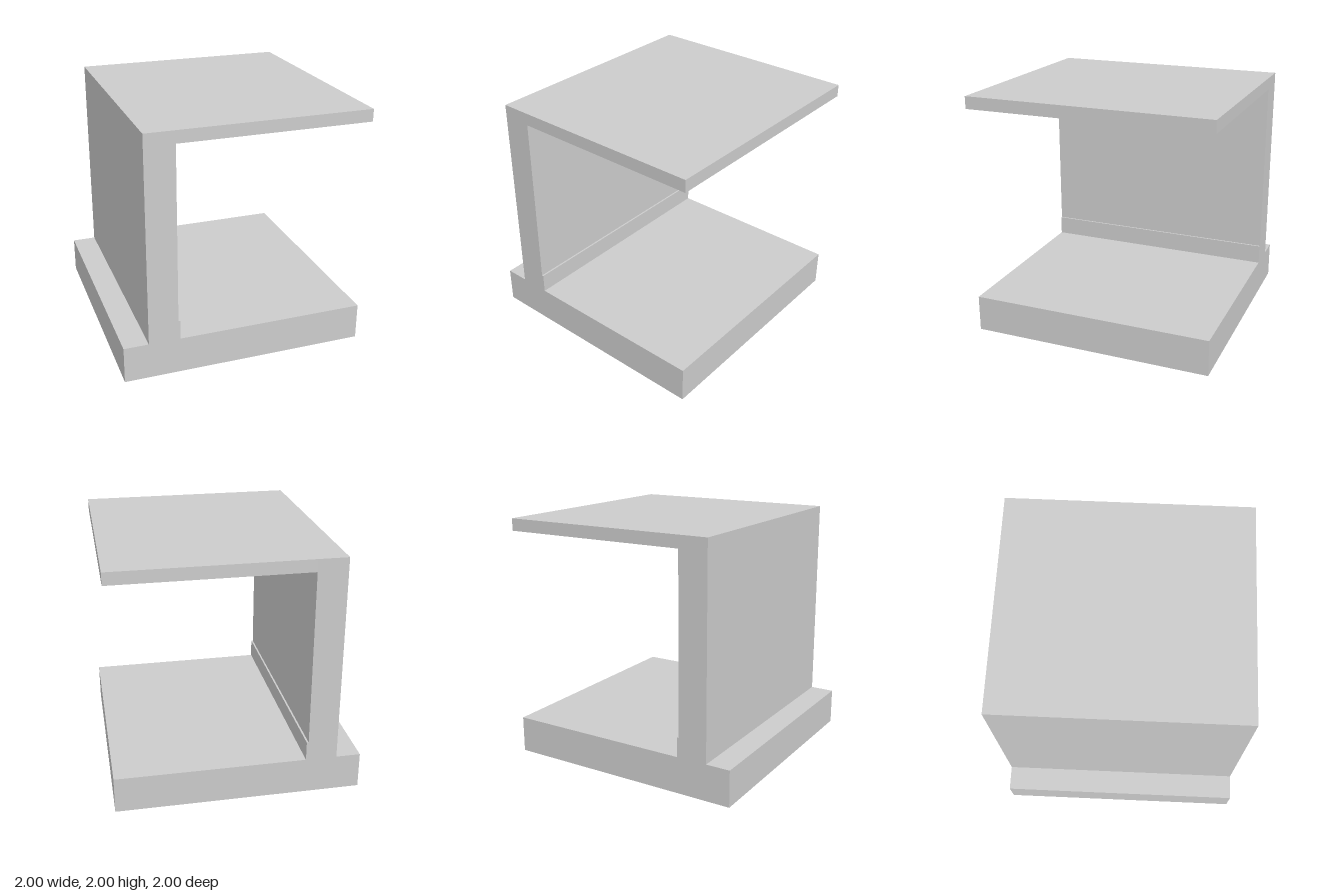
import * as THREE from 'three';

const DEPTH = 2;

export function createModel() {
  const group = new THREE.Group();
  group.name = 'wallSection';
  const material = new THREE.MeshStandardMaterial({ color: 0xcccccc, flatShading: true });

  // Box spanning the full depth, given by its x and y limits
  const addSlab = (name, x0, x1, y0, y1) => {
    const mesh = new THREE.Mesh(new THREE.BoxGeometry(x1 - x0, y1 - y0, DEPTH), material);
    mesh.position.set((x0 + x1) / 2, (y0 + y1) / 2, 0);
    mesh.name = name;
    group.add(mesh);
  };

  addSlab('floor', -1, 1, 0, 0.3);
  addSlab('wall', -0.8, -0.56, 0.3, 2);
  addSlab('skirtingBoard', -0.56, -0.545, 0.3, 0.46);
  addSlab('ceiling', -0.56, 1, 1.9, 2);

  return group;
}
